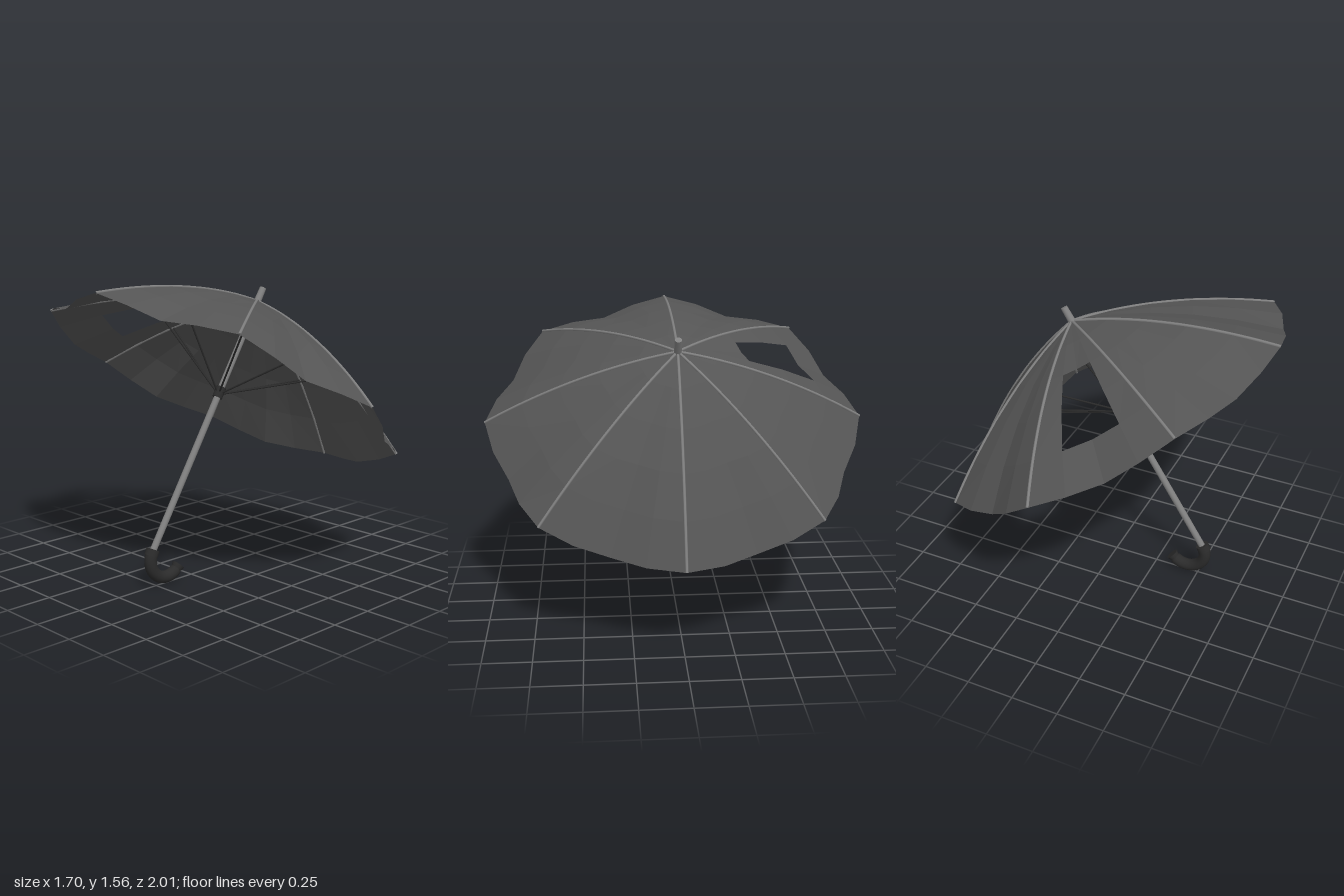
import * as THREE from 'three';

const mat = (name, color, side = THREE.FrontSide) => {
  const m = new THREE.MeshStandardMaterial({ color, side });
  m.name = name;
  return m;
};

const RIBS = 8, COLS = 4, RINGS = 5, TILT = THREE.MathUtils.degToRad(32);

// Height of a rib above the rim plane at radius r
const ribHeight = (r) => 0.49 - 0.2525 * r - 0.2375 * r * r;

// Fabric point: gore angle in columns, sagging inward and down between ribs
function fabricPoint(ring, col) {
  const r = ring / RINGS;
  const a = (col / (RIBS * COLS)) * Math.PI * 2;
  const sag = 1 - Math.abs(((col % COLS) / COLS) * 2 - 1);
  const rr = r * (1 - 0.063 * sag);
  return [Math.cos(a) * rr, ribHeight(r) - 0.046 * sag * r * r, Math.sin(a) * rr];
}

// Canopy fabric with one torn-out patch at the back
function canopyGeometry() {
  const pos = [];
  const isHole = (ring, col) => ring >= 2 && ring < 4 && (col === 21 || col === 22);
  for (let col = 0; col < RIBS * COLS; col++) {
    for (let ring = 0; ring < RINGS; ring++) {
      if (isHole(ring, col)) continue;
      const a = fabricPoint(ring, col), b = fabricPoint(ring, col + 1);
      const c = fabricPoint(ring + 1, col + 1), d = fabricPoint(ring + 1, col);
      if (ring > 0) pos.push(...a, ...b, ...c);
      pos.push(...a, ...c, ...d);
    }
  }
  const g = new THREE.BufferGeometry();
  g.setAttribute('position', new THREE.Float32BufferAttribute(pos, 3));
  g.computeVertexNormals();
  return g;
}

export function createModel() {
  const fabric = mat('canopy grey', 0x555555, THREE.DoubleSide);
  fabric.flatShading = true;
  const metal = mat('metal grey', 0x808080);
  const dark = mat('handle black', 0x2b2b2b);

  const model = new THREE.Group();
  model.name = 'umbrella';
  const add = (parent, name, geometry, material) => {
    const m = new THREE.Mesh(geometry, material);
    m.name = name;
    parent.add(m);
    return m;
  };
  // Cylinder along y between two heights
  const rod = (parent, name, r0, r1, y0, y1, material) => {
    const m = add(parent, name, new THREE.CylinderGeometry(r1, r0, y1 - y0, 16), material);
    m.position.y = (y0 + y1) / 2;
    return m;
  };

  // Tilted assembly, origin at the middle of the rim
  const tilted = new THREE.Group();
  tilted.name = 'tiltedUmbrella';
  tilted.position.set(-0.005, 1.018, 0);
  tilted.rotation.z = -TILT;
  model.add(tilted);

  add(tilted, 'canopy', canopyGeometry(), fabric);
  rod(tilted, 'shaft', 0.018, 0.018, -0.98, 0.5, metal);
  rod(tilted, 'ferrule', 0.02, 0.018, 0.47, 0.57, metal);
  rod(tilted, 'runner', 0.027, 0.027, -0.09, -0.03, dark);

  // Ribs along the fabric and stretchers up from the runner
  const ribPoints = [];
  for (let i = 0; i <= 10; i++) ribPoints.push(new THREE.Vector3(i / 10, ribHeight(i / 10), 0));
  const ribGeo = new THREE.TubeGeometry(new THREE.CatmullRomCurve3(ribPoints), 20, 0.008, 6);
  const stretcherGeo = new THREE.TubeGeometry(new THREE.LineCurve3(
    new THREE.Vector3(0.02, -0.06, 0), new THREE.Vector3(0.55, ribHeight(0.55) - 0.008, 0)), 1, 0.005, 6);
  for (let i = 0; i < RIBS; i++) {
    const a = (i / RIBS) * Math.PI * 2;
    add(tilted, 'rib', ribGeo, metal).rotation.y = a;
    add(tilted, 'stretcher', stretcherGeo, dark).rotation.y = a;
  }

  // Hooked handle: torus arc with a collar and a flared end
  const handle = new THREE.Group();
  handle.name = 'handle';
  handle.position.set(-0.43, 0.14, 0);
  model.add(handle);
  const R = 0.106, start = THREE.MathUtils.degToRad(148), end = THREE.MathUtils.degToRad(323);
  const neck = THREE.MathUtils.degToRad(308);
  const hook = add(handle, 'hook', new THREE.TorusGeometry(R, 0.033, 14, 28, neck - start), dark);
  hook.rotation.z = start;
  const onArc = (mesh, a) => {
    mesh.position.set(Math.cos(a) * R, Math.sin(a) * R, 0);
    mesh.rotation.z = a;
  };
  onArc(add(handle, 'collar', new THREE.CylinderGeometry(0.036, 0.036, 0.036, 18), dark), start + 0.1);
  onArc(add(handle, 'hookCap', new THREE.SphereGeometry(0.033, 14, 10), dark), neck - 0.12);
  onArc(add(handle, 'flaredEnd', new THREE.CylinderGeometry(0.035, 0.024, 0.034, 18), dark), end - 0.14);

  return model;
}
